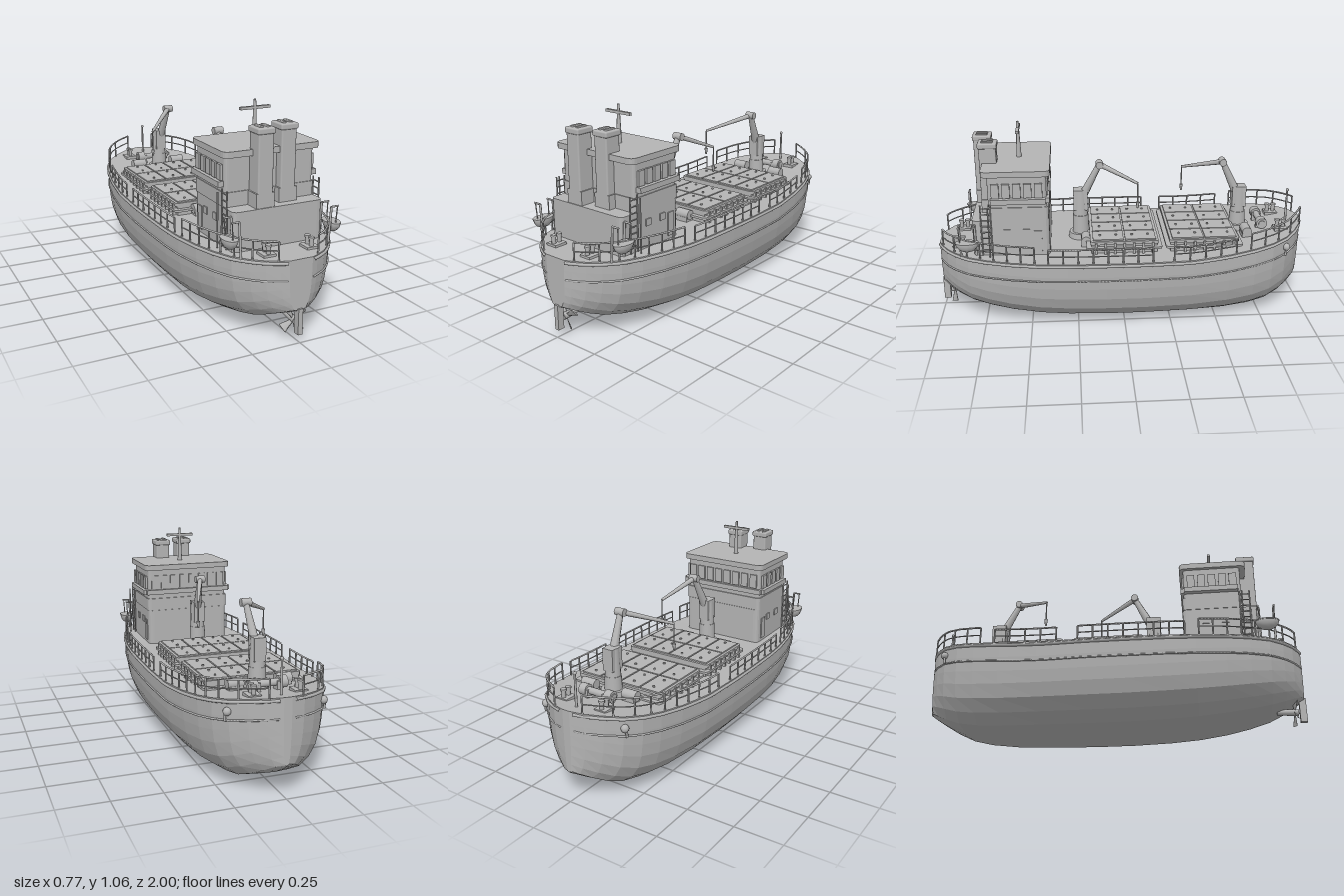
import * as THREE from 'three';
import { RoundedBoxGeometry } from 'three/addons/geometries/RoundedBoxGeometry.js';

const V = (x, y, z) => new THREE.Vector3(x, y, z);

// Hull stations, bow to stern: z, half width at deck, keel height
const STATIONS = [
  [-0.995, 0.02, 0.16], [-0.975, 0.09, 0.145], [-0.93, 0.165, 0.115], [-0.87, 0.235, 0.08], [-0.79, 0.285, 0.045],
  [-0.69, 0.318, 0.025], [-0.55, 0.345, 0.012], [-0.35, 0.367, 0.006], [-0.1, 0.377, 0.002], [0.1, 0.377, 0.002],
  [0.3, 0.373, 0.008], [0.45, 0.362, 0.018], [0.6, 0.338, 0.037], [0.72, 0.306, 0.06], [0.82, 0.265, 0.085],
  [0.89, 0.21, 0.112], [0.94, 0.155, 0.135], [0.975, 0.095, 0.152], [0.99, 0.06, 0.16],
];
// Half section: fraction of half width, fraction of height
const SECTION = [[1, 1], [0.993, 0.8], [0.975, 0.62], [0.945, 0.46], [0.875, 0.29], [0.735, 0.14], [0.53, 0.03], [0.26, 0.01], [0, 0]];

const deckY = (z) => 0.4 + 0.085 * Math.pow(Math.max(0, (-z - 0.3) / 0.7), 1.5) + 0.012 * Math.max(0, (z - 0.4) / 0.6);
function halfWidth(z) {
  for (let i = 1; i < STATIONS.length; i++) {
    const [a, wa] = STATIONS[i - 1], [b, wb] = STATIONS[i];
    if (z <= b) return wa + (wb - wa) * Math.max(0, (z - a) / (b - a));
  }
  return STATIONS[STATIONS.length - 1][1];
}

function hullGeometry() {
  const rings = STATIONS.map(([z, w, k]) => {
    const d = deckY(z);
    const right = SECTION.map(([u, t]) => V(u * w, k + t * (d - k), z));
    return right.concat(right.slice(0, -1).reverse().map((p) => V(-p.x, p.y, p.z)));
  });
  const pos = [];
  const tri = (...ps) => ps.forEach((p) => pos.push(p.x, p.y, p.z));
  const n = rings[0].length;
  for (let i = 0; i + 1 < rings.length; i++) {
    for (let j = 0; j < n; j++) {
      const k = (j + 1) % n, A = rings[i], B = rings[i + 1];
      tri(A[j], B[j], A[k]);
      tri(B[j], B[k], A[k]);
    }
  }
  const bow = rings[0], stern = rings[rings.length - 1];
  for (let j = 1; j + 1 < n; j++) {
    tri(bow[0], bow[j], bow[j + 1]);
    tri(stern[0], stern[j + 1], stern[j]);
  }
  const g = new THREE.BufferGeometry();
  g.setAttribute('position', new THREE.Float32BufferAttribute(pos, 3));
  g.computeVertexNormals();
  return g;
}

export function createModel() {
  const model = new THREE.Group();
  model.name = 'cargoShip';
  const grey = new THREE.MeshStandardMaterial({ color: 0xb4b4b4 });
  grey.name = 'grey';

  const add = (name, geo, x = 0, y = 0, z = 0) => {
    const m = new THREE.Mesh(geo, grey);
    m.name = name;
    m.position.set(x, y, z);
    model.add(m);
    return m;
  };
  // Box given by its limits on each axis
  const box = (name, x0, x1, y0, y1, z0, z1) =>
    add(name, new THREE.BoxGeometry(x1 - x0, y1 - y0, z1 - z0), (x0 + x1) / 2, (y0 + y1) / 2, (z0 + z1) / 2);
  const rounded = (name, x0, x1, y0, y1, z0, z1, r) =>
    add(name, new RoundedBoxGeometry(x1 - x0, y1 - y0, z1 - z0, 2, r), (x0 + x1) / 2, (y0 + y1) / 2, (z0 + z1) / 2);
  // Round bar between two points
  const bar = (name, a, b, ra, rb = ra, sides = 8) => {
    const dir = b.clone().sub(a);
    const m = add(name, new THREE.CylinderGeometry(rb, ra, dir.length(), sides));
    m.position.copy(a).add(b).multiplyScalar(0.5);
    m.quaternion.setFromUnitVectors(V(0, 1, 0), dir.normalize());
    return m;
  };
  // Vertical-sided slab with rounded corners in plan
  const slab = (name, hw, z0, z1, y0, y1, r) => {
    const s = new THREE.Shape();
    s.moveTo(-hw + r, -z1).lineTo(hw - r, -z1).quadraticCurveTo(hw, -z1, hw, -z1 + r);
    s.lineTo(hw, -z0 - r).quadraticCurveTo(hw, -z0, hw - r, -z0).lineTo(-hw + r, -z0);
    s.quadraticCurveTo(-hw, -z0, -hw, -z0 - r).lineTo(-hw, -z1 + r).quadraticCurveTo(-hw, -z1, -hw + r, -z1);
    const g = new THREE.ExtrudeGeometry(s, { depth: y1 - y0, bevelEnabled: false, curveSegments: 4 });
    return add(name, g.rotateX(-Math.PI / 2), 0, y0, 0);
  };
  // Tube following the hull side
  const sideTube = (name, s, z0, z1, dy, out, r, frac = 1) => {
    const pts = [];
    const n = Math.max(4, Math.ceil((z1 - z0) / 0.03));
    for (let i = 0; i <= n; i++) {
      const z = z0 + ((z1 - z0) * i) / n;
      pts.push(V(s * (halfWidth(z) * frac + out), deckY(z) + dy, z));
    }
    add(name, new THREE.TubeGeometry(new THREE.CatmullRomCurve3(pts), n * 2, r, 6), 0, 0, 0);
  };

  add('hull', hullGeometry());

  for (const s of [-1, 1]) {
    // Rubbing strakes
    sideTube('upperStrake', s, -0.99, 0.988, -0.014, 0, 0.0085);
    sideTube('lowerStrake', s, -0.99, 0.988, -0.1, 0, 0.005, 0.992);

    // Railings in sections with gaps
    for (const [z0, z1] of [[-0.975, -0.66], [-0.58, -0.25], [-0.14, 0.4], [0.47, 0.965]]) {
      const h = z0 > 0.45 || z0 < -0.6 ? 0.09 : 0.078;
      sideTube('topRail', s, z0, z1, h, -0.008, 0.005);
      sideTube('middleRail', s, z0, z1, h * 0.52, -0.008, 0.0035);
      const n = Math.round((z1 - z0) / 0.075);
      for (let i = 0; i <= n; i++) {
        const z = z0 + ((z1 - z0) * i) / n, x = s * (halfWidth(z) - 0.008), y = deckY(z);
        bar('railPost', V(x, y - 0.005, z), V(x, y + h, z), 0.0045, 0.0045, 6);
      }
    }

    // Anchor
    const ax = s * (halfWidth(-0.87) + 0.005);
    add('anchorPipe', new THREE.SphereGeometry(0.02, 10, 8), ax, 0.405, -0.87);
    bar('anchorShank', V(ax + s * 0.008, 0.405, -0.87), V(ax + s * 0.008, 0.36, -0.865), 0.006);

    // Mooring bollards
    for (const [x, z] of [[0.115, -0.86], [0.115, 0.875]]) {
      const y = deckY(z);
      box('bollardBase', s * x - 0.032, s * x + 0.032, y - 0.01, y + 0.012, z - 0.035, z + 0.035);
      for (const dz of [-0.017, 0.017]) {
        bar('bollard', V(s * x, y, z + dz), V(s * x, y + 0.05, z + dz), 0.011);
        bar('bollardCap', V(s * x, y + 0.045, z + dz), V(s * x, y + 0.055, z + dz), 0.015);
      }
    }

    // Lifeboat with davits
    const boat = add('lifeboat', new THREE.SphereGeometry(1, 12, 6, 0, Math.PI * 2, Math.PI / 2, Math.PI / 2), s * 0.275, 0.495, 0.815);
    boat.scale.set(0.035, 0.05, 0.06);
    const lid = add('lifeboatCover', new THREE.CylinderGeometry(1, 1, 0.006, 12), s * 0.275, 0.495, 0.815);
    lid.scale.set(0.037, 1, 0.062);
    for (const z of [0.775, 0.855]) {
      const x = s * 0.235;
      bar('davitPost', V(x, 0.4, z), V(x + s * 0.01, 0.58, z), 0.006);
      bar('davitArm', V(x + s * 0.01, 0.58, z), V(s * 0.285, 0.58, z), 0.005);
      bar('davitLine', V(s * 0.28, 0.58, z), V(s * 0.275, 0.49, 0.815 + (z - 0.815) * 0.9), 0.003);
    }
    bar('sideLightPost', V(s * 0.275, 0.41, 0.7), V(s * 0.275, 0.68, 0.7), 0.004);

    // Bridge side windows, deckhouse windows and door
    for (let i = 0; i < 5; i++) box('sideWindow', s * 0.246 - 0.006, s * 0.246 + 0.006, 0.725, 0.8, 0.42 + i * 0.055, 0.46 + i * 0.055);
    for (const z of [0.51, 0.61]) box('cabinWindow', s * 0.242 - 0.004, s * 0.242 + 0.004, 0.515, 0.55, z - 0.018, z + 0.018);
    box('cabinDoor', s * 0.242 - 0.004, s * 0.242 + 0.004, 0.42, 0.54, 0.43, 0.47);
    box('bridgeLedge', s * 0.25 - 0.016, s * 0.25 + 0.016, 0.695, 0.722, 0.405, 0.685);

    // Ladder beside the deckhouse
    for (const z of [0.69, 0.74]) bar('ladderSide', V(s * 0.248, 0.41, z), V(s * 0.248, 0.69, z), 0.004, 0.004, 6);
    for (let i = 0; i < 8; i++) bar('ladderRung', V(s * 0.248, 0.44 + i * 0.033, 0.69), V(s * 0.248, 0.44 + i * 0.033, 0.74), 0.0035, 0.0035, 6);

    // Funnel
    const x = s * 0.072, z = s < 0 ? 0.74 : 0.7;
    box('funnelBase', x - 0.048, x + 0.048, 0.6, 0.67, z - 0.05, z + 0.045);
    rounded('funnel', x - 0.04, x + 0.04, 0.59, 0.965, z - 0.045, z + 0.045, 0.008);
    rounded('funnelCap', x - 0.046, x + 0.046, 0.945, 0.975, z - 0.05, z + 0.05, 0.008);
    for (const dx of [-0.018, 0.018]) rounded('exhaust', x + dx - 0.009, x + dx + 0.009, 0.97, 0.982, z - 0.03, z + 0.03, 0.004);
  }

  // Deckhouse and bridge
  slab('deckhouse', 0.24, 0.39, 0.79, 0.395, 0.6, 0.03);
  slab('bridge', 0.238, 0.4, 0.7, 0.6, 0.845, 0.02);
  slab('bridgeBase', 0.243, 0.393, 0.705, 0.6, 0.67, 0.02);
  slab('bridgeRoof', 0.257, 0.38, 0.73, 0.838, 0.868, 0.035);
  box('frontLedge', -0.25, 0.25, 0.695, 0.722, 0.385, 0.41);
  for (let i = 0; i < 8; i++) {
    const x = -0.2 + (i * 0.4) / 7;
    box('frontWindow', x - 0.021, x + 0.021, 0.728, 0.805, 0.392, 0.404);
  }

  // Signal mast
  bar('mast', V(0, 0.86, 0.545), V(0, 1.06, 0.545), 0.014, 0.006);
  box('mastYard', -0.08, 0.08, 1.013, 1.027, 0.537, 0.553);
  bar('bowMast', V(0, 0.46, -0.92), V(0, 0.645, -0.92), 0.007, 0.005);
  add('bowLight', new THREE.SphereGeometry(0.009, 8, 6), 0, 0.64, -0.92);

  // Cargo hatches
  for (const [z0, z1] of [[-0.61, -0.24], [-0.18, 0.18]]) {
    box('hatchCoaming', -0.24, 0.24, 0.39, 0.45, z0 + 0.005, z1 - 0.005);
    slab('hatchRim', 0.262, z0 - 0.02, z1 + 0.02, 0.425, 0.437, 0.02);
    slab('hatchLid', 0.25, z0, z1, 0.45, 0.468, 0.015);
    const w = 0.48 / 4, d = (z1 - z0 - 0.02) / 2;
    for (let i = 0; i < 4; i++) for (let j = 0; j < 2; j++) {
      const x = -0.24 + i * w, z = z0 + 0.01 + j * d;
      box('hatchPanel', x + 0.004, x + w - 0.004, 0.465, 0.475, z + 0.004, z + d - 0.004);
      for (const t of [0.25, 0.75]) bar('hatchLug', V(x + w / 2, 0.47, z + d * t), V(x + w / 2, 0.482, z + d * t), 0.006);
    }
    for (let i = 0; i < 7; i++) for (const s of [-1, 1]) {
      const z = z0 + 0.03 + ((z1 - z0 - 0.06) * i) / 6;
      box('hatchCleat', s * 0.25 - 0.008, s * 0.25 + 0.008, 0.4, 0.46, z - 0.006, z + 0.006);
    }
  }

  // Deck cranes: foot z, elbow and tip
  for (const [z, elbow, tip] of [[-0.645, V(0.02, 0.82, -0.545), V(-0.16, 0.735, -0.35)], [0.225, V(0.02, 0.82, 0.12), V(0.1, 0.735, -0.08)]]) {
    const y = deckY(z), e = Math.sign(elbow.z - z);
    bar('craneFoot', V(0, y - 0.01, z), V(0, y + 0.03, z), 0.068, 0.062, 20);
    bar('craneColumn', V(0, y, z), V(0, 0.53, z), 0.046, 0.042, 20);
    bar('craneTurret', V(0, 0.52, z), V(0, 0.675, z), 0.04, 0.034, 16);
    box('craneCab', -0.03, 0.03, 0.56, 0.675, z - 0.038, z + 0.038);
    bar('craneLowerArm', V(0.005, 0.64, z + e * 0.015), elbow, 0.024, 0.015);
    bar('craneElbow', elbow.clone().add(V(-0.026, 0, 0)), elbow.clone().add(V(0.026, 0, 0)), 0.02, 0.02, 14);
    bar('craneJib', elbow, tip, 0.015, 0.007);
    bar('craneWire', tip, V(tip.x, 0.62, tip.z), 0.0035);
    bar('craneHook', V(tip.x, 0.595, tip.z), V(tip.x, 0.63, tip.z), 0.005, 0.01);
    for (const s of [-1, 1]) {
      const wz = z - 0.025;
      bar('winchDrum', V(s * 0.085, y + 0.035, wz), V(s * 0.165, y + 0.035, wz), 0.026, 0.026, 14);
      box('winchBase', s * 0.125 - 0.035, s * 0.125 + 0.035, y - 0.01, y + 0.025, wz - 0.025, wz + 0.025);
    }
  }

  // Anchor windlass
  const wy = deckY(-0.765);
  bar('windlassShaft', V(-0.1, wy + 0.035, -0.765), V(0.1, wy + 0.035, -0.765), 0.018, 0.018, 12);
  for (const s of [-1, 1]) {
    bar('windlassDrum', V(s * 0.055, wy + 0.035, -0.765), V(s * 0.095, wy + 0.035, -0.765), 0.03, 0.03, 14);
    box('windlassStand', s * 0.05 - 0.008, s * 0.05 + 0.008, wy - 0.015, wy + 0.045, -0.79, -0.74);
  }

  // Rudder and propeller
  box('rudder', -0.012, 0.012, 0.042, 0.17, 0.965, 1);
  bar('propellerShaft', V(0, 0.1, 0.85), V(0, 0.095, 0.96), 0.014, 0.018, 12);
  for (let i = 0; i < 4; i++) {
    const g = new THREE.CylinderGeometry(0.024, 0.008, 0.06, 8).scale(1, 1, 0.15).rotateY(0.6).translate(0, 0.04, 0);
    add('propellerBlade', g.rotateZ(0.5 + (i * Math.PI) / 2), 0, 0.095, 0.94);
  }
  return model;
}
